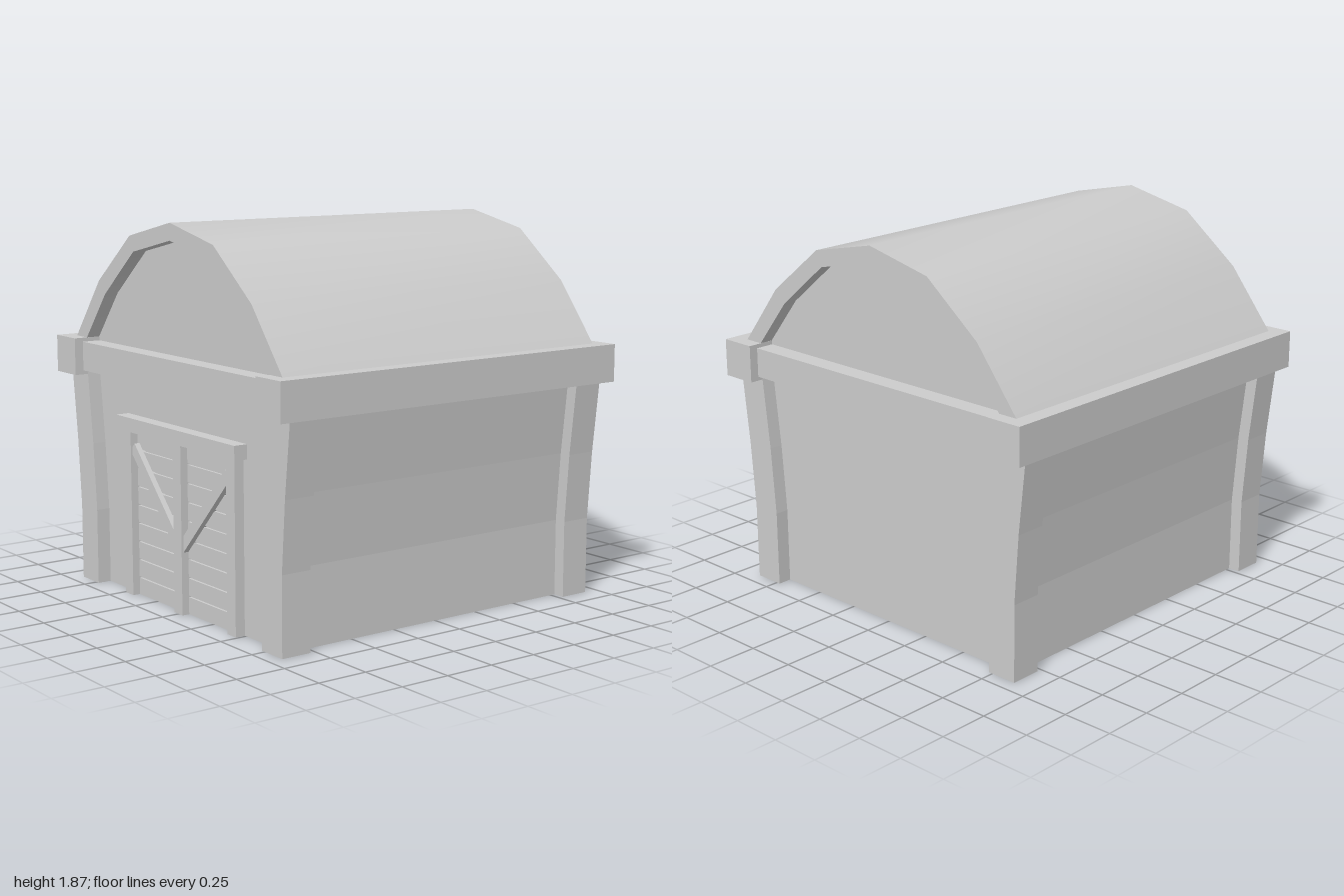
import * as THREE from 'three';
import { toCreasedNormals } from 'three/addons/utils/BufferGeometryUtils.js';

const material = new THREE.MeshStandardMaterial({ color: 0xcccccc });

export function createModel() {
  const model = new THREE.Group();
  model.name = 'barn';

  const add = (name, geometry, parent = model) => {
    const mesh = new THREE.Mesh(geometry, material);
    mesh.name = name;
    parent.add(mesh);
    return mesh;
  };

  // Box given by its limits on each axis
  const box = (name, [x0, x1], [y0, y1], [z0, z1], parent) => {
    const mesh = add(name, new THREE.BoxGeometry(x1 - x0, y1 - y0, z1 - z0), parent);
    mesh.position.set((x0 + x1) / 2, (y0 + y1) / 2, (z0 + z1) / 2);
    return mesh;
  };

  // Outline of [z, y] points drawn out along x
  const prism = (name, points, x0, x1, smooth = false) => {
    const shape = new THREE.Shape(points.map(([z, y]) => new THREE.Vector2(z, y)));
    let geometry = new THREE.ExtrudeGeometry(shape, { depth: x1 - x0, bevelEnabled: false });
    geometry.rotateY(-Math.PI / 2);
    geometry.translate(x1, 0, 0);
    if (smooth) geometry = toCreasedNormals(geometry, 0.6);
    return add(name, geometry);
  };

  const mirror = (half) => [...half, ...half.filter(([z]) => z > 0).reverse().map(([z, y]) => [-z, y])];

  // Arched roof shell
  const outer = mirror([[0.9, 1.25], [0.665, 1.55], [0.363, 1.79], [0, 1.87]]);
  const inner = mirror([[0.8, 1.25], [0.605, 1.49], [0.33, 1.715], [0, 1.787]]);
  prism('roof', [...outer, ...inner.slice().reverse()], -0.93, 0.93, true);

  // Flared outline shared by the posts and the front and back walls
  const flare = [[0.885, 0], [0.885, 0.38], [0.91, 0.72], [0.95, 1.08]];
  const band = (side, near, far) => [
    ...flare.map(([z, y]) => [side * (z - near), y]),
    ...flare.slice().reverse().map(([z, y]) => [side * (z - far), y]),
  ];

  for (const side of [1, -1]) {
    const end = side > 0 ? 'front' : 'back';
    prism(end + 'Wall', band(side, 0.06, 0.09), -0.86, 0.86);
    prism(end + 'LeftPost', band(side, 0, 0.155), 0.775, 0.93);
    prism(end + 'RightPost', band(side, 0, 0.155), -0.93, -0.775);
    const z = [side * 0.795, side * 0.978].sort((a, b) => a - b);
    box(end + 'Beam', [-1, 1], [1.07, 1.255], z);
  }

  // End walls run from the ground up to the gables
  const endWall = [[0.82, 0], [0.82, 0.38], [0.84, 0.72], [0.87, 1.08], [0.87, 1.2],
    [0.8, 1.25], [0.605, 1.49], [0.33, 1.715], [0, 1.787]];
  for (const side of [1, -1]) {
    const name = side > 0 ? 'left' : 'right';
    const span = (a, b) => [side * a, side * b].sort((p, q) => p - q);
    prism(name + 'Wall', mirror(endWall), ...span(0.83, 0.86));
    box(name + 'Beam', span(0.795, 0.955), [1.09, 1.235], [-0.795, 0.795]);
  }

  // Double door on the right wall
  const door = new THREE.Group();
  door.name = 'door';
  model.add(door);
  const boards = 9;
  const pitch = 0.83 / boards;
  for (let i = 0; i < boards; i++) {
    box('doorBoard', [-0.872, -0.85], [i * pitch, (i + 1) * pitch - 0.008], [-0.43, 0.43], door);
  }
  for (const z of [-0.455, 0, 0.455]) {
    box('doorPost', [-0.91, -0.85], [0, 0.84], [z - 0.035, z + 0.035], door);
  }
  box('doorLintel', [-0.93, -0.85], [0.83, 0.9], [-0.52, 0.52], door);

  // Slanted braces meeting at the middle post
  for (const side of [1, -1]) {
    const dz = side * 0.42, dy = 0.44;
    const brace = add('doorBrace', new THREE.BoxGeometry(0.04, 0.055, Math.hypot(dz, dy)), door);
    brace.position.set(-0.88, 0.31 + dy / 2, dz / 2);
    brace.rotation.x = -Math.atan2(dy, dz);
  }

  return model;
}
